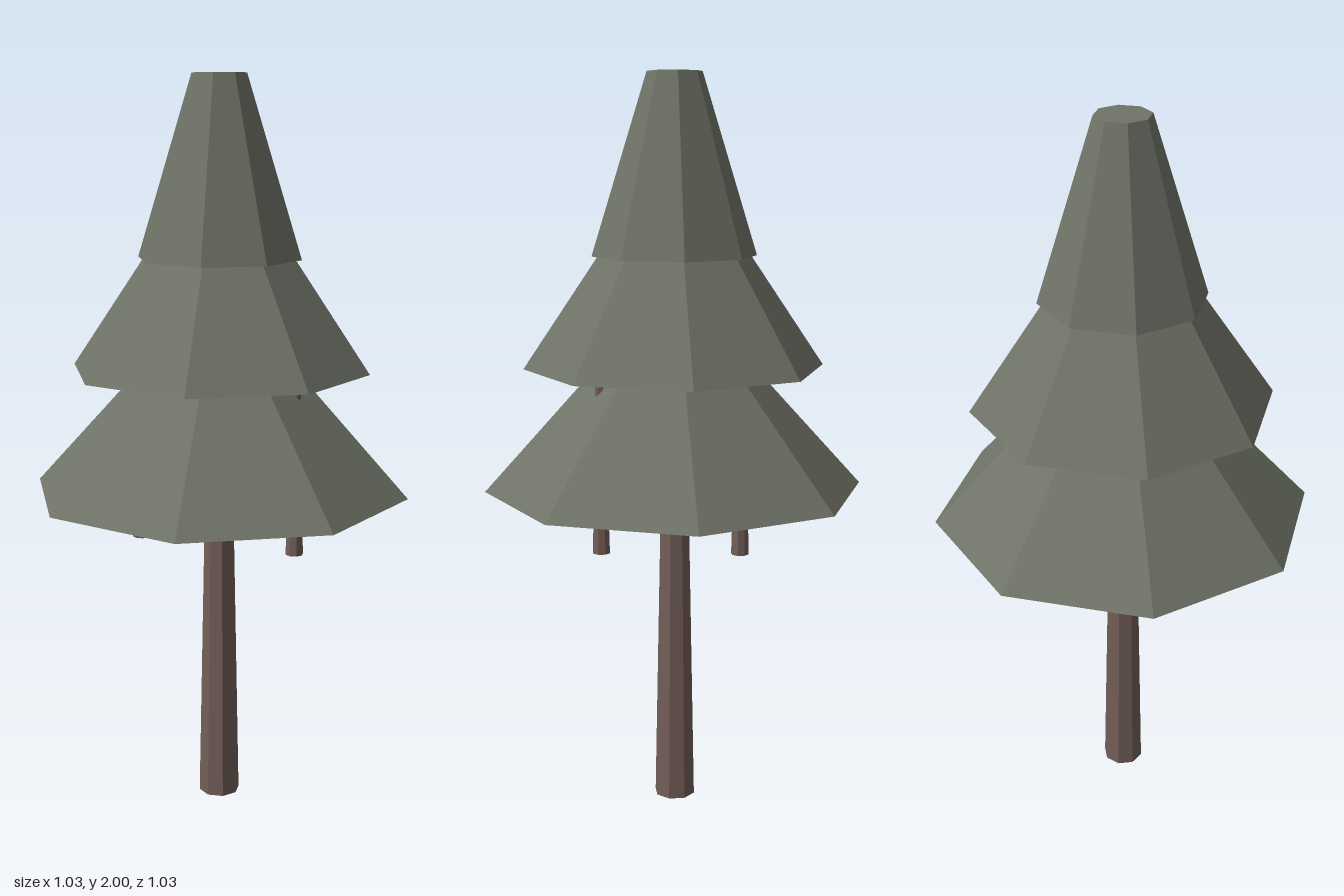
import * as THREE from 'three';

export function createModel() {
  const tree = new THREE.Group();
  tree.name = 'pineTree';

  const foliage = new THREE.MeshStandardMaterial({ color: 0x6f7367, flatShading: true });
  foliage.name = 'greyGreenFoliage';
  const bark = new THREE.MeshStandardMaterial({ color: 0x735e58, flatShading: true });
  bark.name = 'brownBark';

  // Eight-sided tapered solid standing between two heights
  function taper(name, material, rBottom, rTop, y0, y1, x = 0, z = 0, turn = 0) {
    const geometry = new THREE.CylinderGeometry(rTop, rBottom, y1 - y0, 8);
    geometry.rotateY(turn);
    const mesh = new THREE.Mesh(geometry, material);
    mesh.name = name;
    mesh.position.set(x, (y0 + y1) / 2, z);
    tree.add(mesh);
  }

  // Foliage tiers, each tucked into the one above
  taper('lowerFoliage', foliage, 0.516, 0.17, 0.895, 1.276);
  taper('middleFoliage', foliage, 0.406, 0.165, 1.228, 1.584);
  taper('upperFoliage', foliage, 0.221, 0.073, 1.525, 2.0);

  // Trunk
  taper('trunk', bark, 0.057, 0.032, 0, 1.25, 0, 0, Math.PI / 8);

  // Small stems hanging below the lowest tier
  const stems = [[0.222, 0.074], [0, -0.222], [-0.222, 0]];
  stems.forEach(([x, z], i) =>
    taper(`hangingStem${i + 1}`, bark, 0.024, 0.011, 0.745, 1.26, x, z, Math.PI / 8));

  return tree;
}
